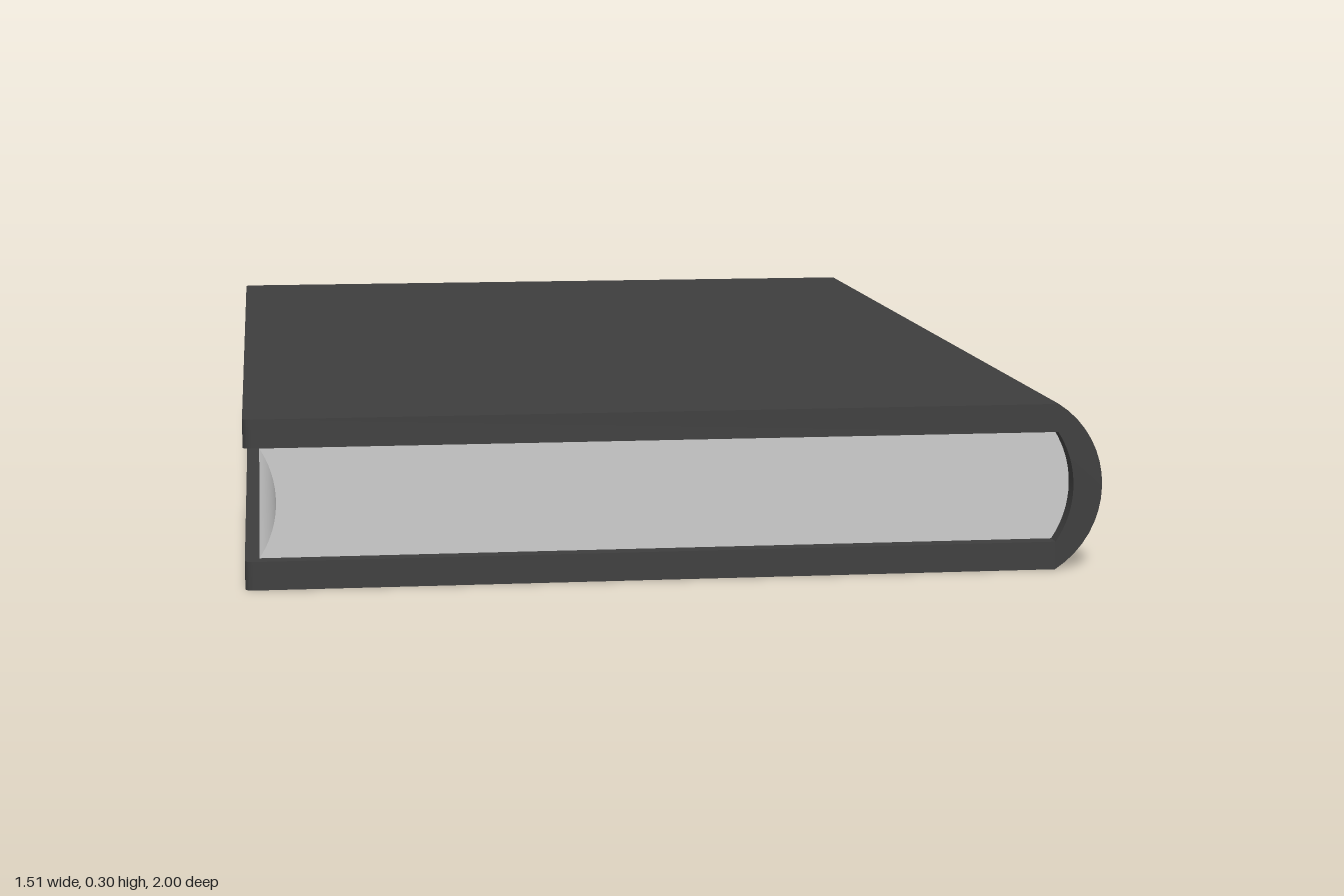
import * as THREE from 'three';
import { toCreasedNormals } from 'three/addons/utils/BufferGeometryUtils.js';

const H = 0.297, T = 0.05, MID = H / 2;   // book height, board thickness, mid height
const HINGE = 0.67, FORE = -0.755;        // where boards meet the spine, free edge
const COVER = new THREE.MeshStandardMaterial({ color: 0x3e3e3e });
const PAPER = new THREE.MeshStandardMaterial({ color: 0xcccccc });

// points of a bulging arc from bottom to top: half height h, bulge b, ends at x
function arc(x, h, b, n = 16) {
  const r = (h * h + b * b) / (2 * b), a = Math.asin(h / r);
  return Array.from({ length: n + 1 }, (_, i) => {
    const t = -a + (2 * a * i) / n;
    return new THREE.Vector2(x + b - r + r * Math.cos(t), MID + r * Math.sin(t));
  });
}

function extrude(name, shape, depth, material) {
  const geo = new THREE.ExtrudeGeometry(shape, { depth, bevelEnabled: false, curveSegments: 6 });
  const mesh = new THREE.Mesh(toCreasedNormals(geo, 0.45), material);
  mesh.name = name;
  return mesh;
}

// flat cover board with slightly rounded free corners
function board(name, y) {
  const r = 0.015, s = new THREE.Shape();
  s.moveTo(HINGE, -1);
  s.lineTo(HINGE, 1);
  s.lineTo(FORE + r, 1);
  s.quadraticCurveTo(FORE, 1, FORE, 1 - r);
  s.lineTo(FORE, -1 + r);
  s.quadraticCurveTo(FORE, -1, FORE + r, -1);
  const mesh = extrude(name, s, T, COVER);
  mesh.rotation.x = -Math.PI / 2;
  mesh.position.y = y;
  return mesh;
}

export function createModel() {
  const book = new THREE.Group();
  book.name = 'book';
  book.add(board('bottomCover', 0), board('topCover', H - T));

  // curved spine joining the two boards
  const inner = arc(HINGE, MID - T, 0.03);
  const spine = extrude('spine',
    new THREE.Shape([...arc(HINGE, MID, 0.082), ...inner.slice().reverse()]), 2, COVER);
  spine.position.z = -1;
  book.add(spine);

  // page block: rounded at the spine, hollow at the fore edge, set in at head and tail
  const fore = arc(-0.73, MID - T, 0.03).reverse();
  const pages = extrude('pages', new THREE.Shape([...inner, ...fore]), 1.94, PAPER);
  pages.position.z = -0.97;
  book.add(pages);
  return book;
}
